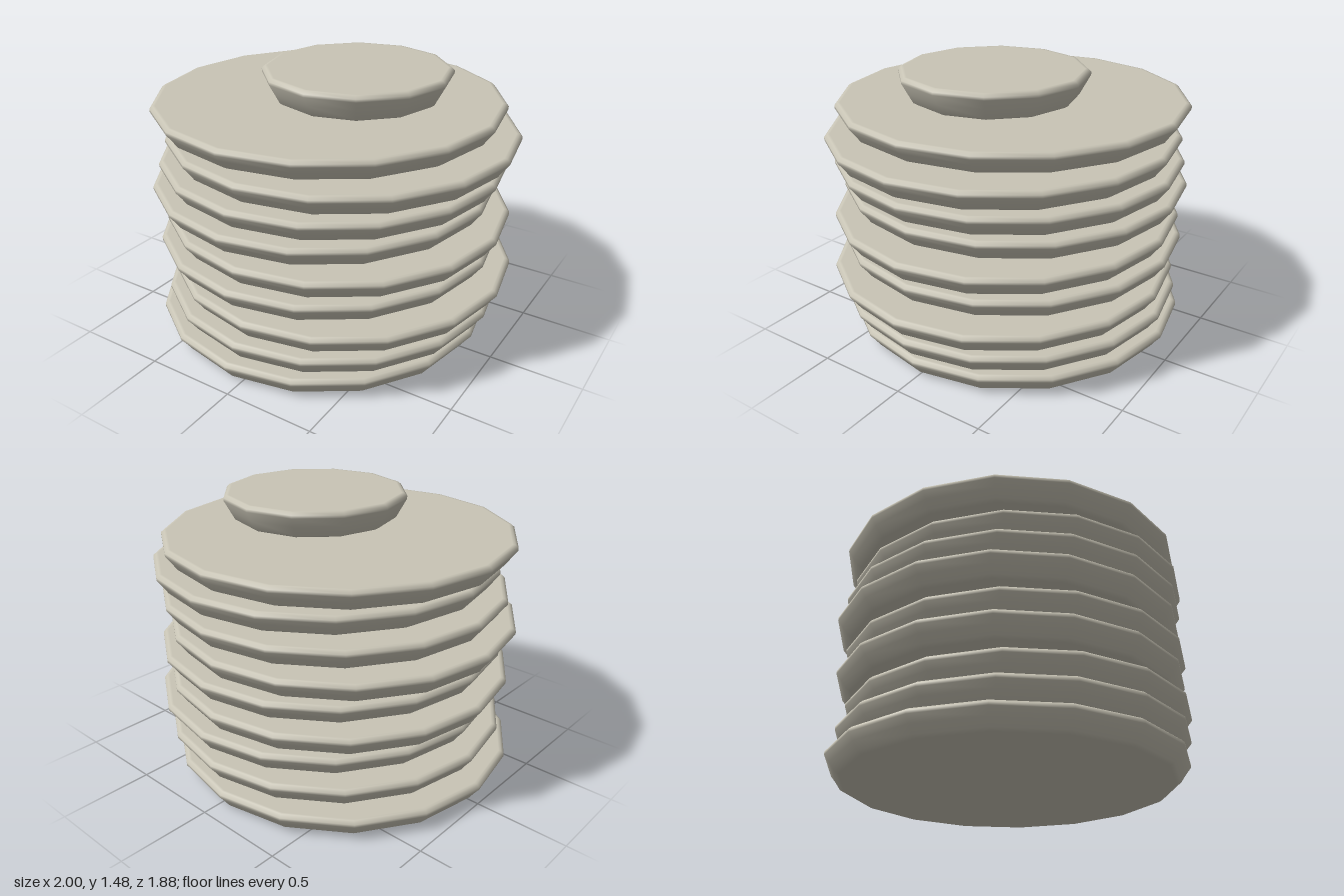
import * as THREE from 'three';

const stone = new THREE.MeshStandardMaterial({ color: 0xc8c4b5 });
stone.name = 'paleStone';

// Disc with a flared lower rim, a rounded lip and flat faces
function disc(name, radius, baseRadius, height, sides) {
  const profile = [
    [0, 0],
    [baseRadius - 0.02, 0],
    [baseRadius, 0],
    [baseRadius + 0.02, 0.012],
    [radius - 0.027, height * 0.45],
    [radius, height - 0.03],
    [radius, height - 0.014],
    [radius - 0.016, height],
    [radius - 0.03, height],
    [0, height],
  ].map(([x, y]) => new THREE.Vector2(x, y));
  const mesh = new THREE.Mesh(new THREE.LatheGeometry(profile, sides), stone);
  mesh.name = name;
  return mesh;
}

export function createModel() {
  const model = new THREE.Group();
  model.name = 'stackedDiscs';

  // Nine large discs, each shifted a little sideways
  const shifts = [-0.06, 0, 0.06, -0.03, 0.03, -0.06, 0, 0.06, -0.03];
  shifts.forEach((x, i) => {
    const plate = disc(`plate${i + 1}`, 0.94, 0.865, 0.117, 16);
    plate.position.set(x, i * 0.148, 0);
    model.add(plate);
  });

  // Small off-centre disc on top
  const cap = disc('topCap', 0.496, 0.42, 0.145, 12);
  cap.position.set(0.145, 1.335, 0);
  model.add(cap);

  return model;
}
